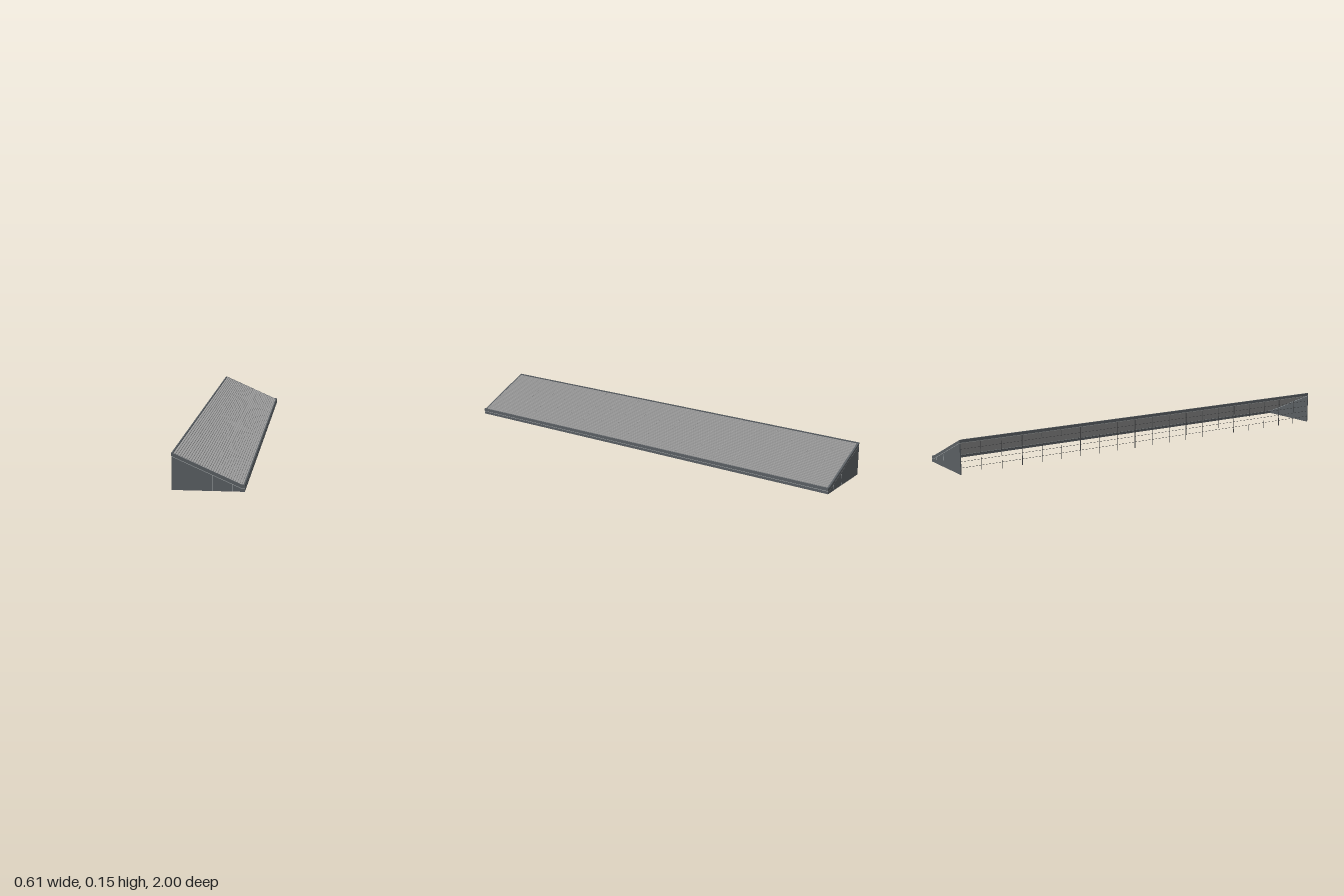
import * as THREE from 'three';

const W = 0.289, L = 1.979;      // width (local x) and length (local z)
const HIGH = 0.15, LOW = 0.027;  // roof top at the open side and at the eave
const EDGE = 0.013, TRIM = 0.002; // frame depth and pale joint below it
const FLAT = 0.012;              // flat lip along the eave

const mat = (name, color) => Object.assign(new THREE.MeshStandardMaterial({ color }), { name });

export function createModel() {
  const slate = mat('slate panel', 0x595e62);
  const roofGrey = mat('roof grey', 0x9c9c9c);
  const pale = mat('pale metal', 0xa8acad);
  const wire = mat('wire', 0x454647);

  const root = new THREE.Group();
  root.name = 'ribbedLeanTo';
  const body = new THREE.Group();
  body.name = 'body';
  body.rotation.y = 0.164;
  root.add(body);

  const add = (name, geometry, material, x, y, z, parent = body) => {
    const m = new THREE.Mesh(geometry, material);
    m.name = name;
    m.position.set(x, y, z);
    parent.add(m);
    return m;
  };
  const box = (name, material, w, h, d, x, y, z, parent) =>
    add(name, new THREE.BoxGeometry(w, h, d), material, x, y, z, parent);

  // Upright plate cut to a side outline and extruded along the length
  const plate = (name, points, depth, material, z) => {
    const shape = new THREE.Shape(points.map(p => new THREE.Vector2(...p)));
    const g = new THREE.ExtrudeGeometry(shape, { depth, bevelEnabled: false });
    return add(name, g, material, 0, 0, z - depth / 2);
  };

  const h = W / 2, run = W - FLAT, drop = (HIGH - LOW) / run;
  const slope = Math.atan(drop);
  const roofY = x => HIGH - (x + h) * drop;

  // Band that follows the roof line between two depths below it
  const band = (upper, lower) => [
    [-h, HIGH - lower], [h - FLAT, LOW - lower], [h, LOW - lower],
    [h, LOW - upper], [h - FLAT, LOW - upper], [-h, HIGH - upper],
  ];
  const wallDrop = EDGE + TRIM;

  // End walls, pale joints and the sloping frame edges above them
  for (const s of [-1, 1]) {
    const end = s > 0 ? 'front' : 'back';
    plate(end + 'EndWall', [
      [-h, 0], [h, 0], [h, LOW - wallDrop],
      [h - FLAT, LOW - wallDrop], [-h, HIGH - wallDrop],
    ], 0.005, slate, s * (L / 2 - 0.0025));
    plate(end + 'Joint', band(EDGE, wallDrop), 0.005, pale, s * (L / 2 - 0.0025));
    plate(end + 'RoofEdge', band(0, EDGE), 0.008, slate, s * (L / 2 - 0.004));
    for (const x of [0.018, 0.097]) {
      const top = roofY(x) - wallDrop;
      box(end + 'WallSeam', pale, 0.0015, top, 0.001, x, top / 2, s * L / 2);
    }
  }

  // Long edges: top beam on the open side, eave and low wall opposite
  box('topBeam', slate, 0.006, EDGE, L - 0.016, -h + 0.003, HIGH - EDGE / 2, 0);
  box('topBeamJoint', pale, 0.005, TRIM, L - 0.01, -h + 0.003, HIGH - EDGE - TRIM / 2, 0);
  box('eaveEdge', slate, 0.006, EDGE, L - 0.016, h - 0.003, LOW - EDGE / 2, 0);
  box('eaveJoint', pale, 0.005, TRIM, L - 0.01, h - 0.003, LOW - EDGE - TRIM / 2, 0);
  box('lowWall', slate, 0.005, LOW - wallDrop, L - 0.01, h - 0.0025, (LOW - wallDrop) / 2, 0);

  // Roof sheet: small steps down the slope on top, smooth underneath
  const count = 31, x0 = -h + 0.006, x1 = h - FLAT, under = 0.011;
  const pitch = (x1 - x0) / count;
  const outline = [
    [x0, roofY(x0) - under], [x1, LOW - under], [h - 0.006, LOW - under],
    [h - 0.006, LOW - 0.002], [x1, LOW - 0.002],
  ];
  for (let i = count - 1; i >= 0; i--) {
    const x = x0 + pitch * i, y = roofY(x) - 0.002;
    outline.push([x + pitch, y], [x, y]);
  }
  plate('roofSheet', outline, L - 0.016, roofGrey, 0);

  // Flush roof battens and posts of the wire screen share one spacing
  const battens = new THREE.Group(), screen = new THREE.Group();
  battens.name = 'roofBattens';
  screen.name = 'wireScreen';
  body.add(battens, screen);
  const bays = 20, postH = HIGH - wallDrop;
  for (let i = 1; i < bays; i++) {
    const z = -L / 2 + L * i / bays;
    const b = box('batten', roofGrey, run / Math.cos(slope) - 0.012, 0.003, 0.002,
      -FLAT / 2, roofY(-FLAT / 2) - 0.0025, z, battens);
    b.rotation.z = -slope;
    const t = i % 3 === 0 ? 0.0025 : 0.0012;
    box('post', wire, t, postH, t, -h + 0.003, postH / 2, z, screen);
  }
  for (const y of [0.028, 0.055, 0.082, 0.109])
    box('rail', wire, 0.001, 0.001, L - 0.01, -h + 0.003, y, 0, screen);

  return root;
}
